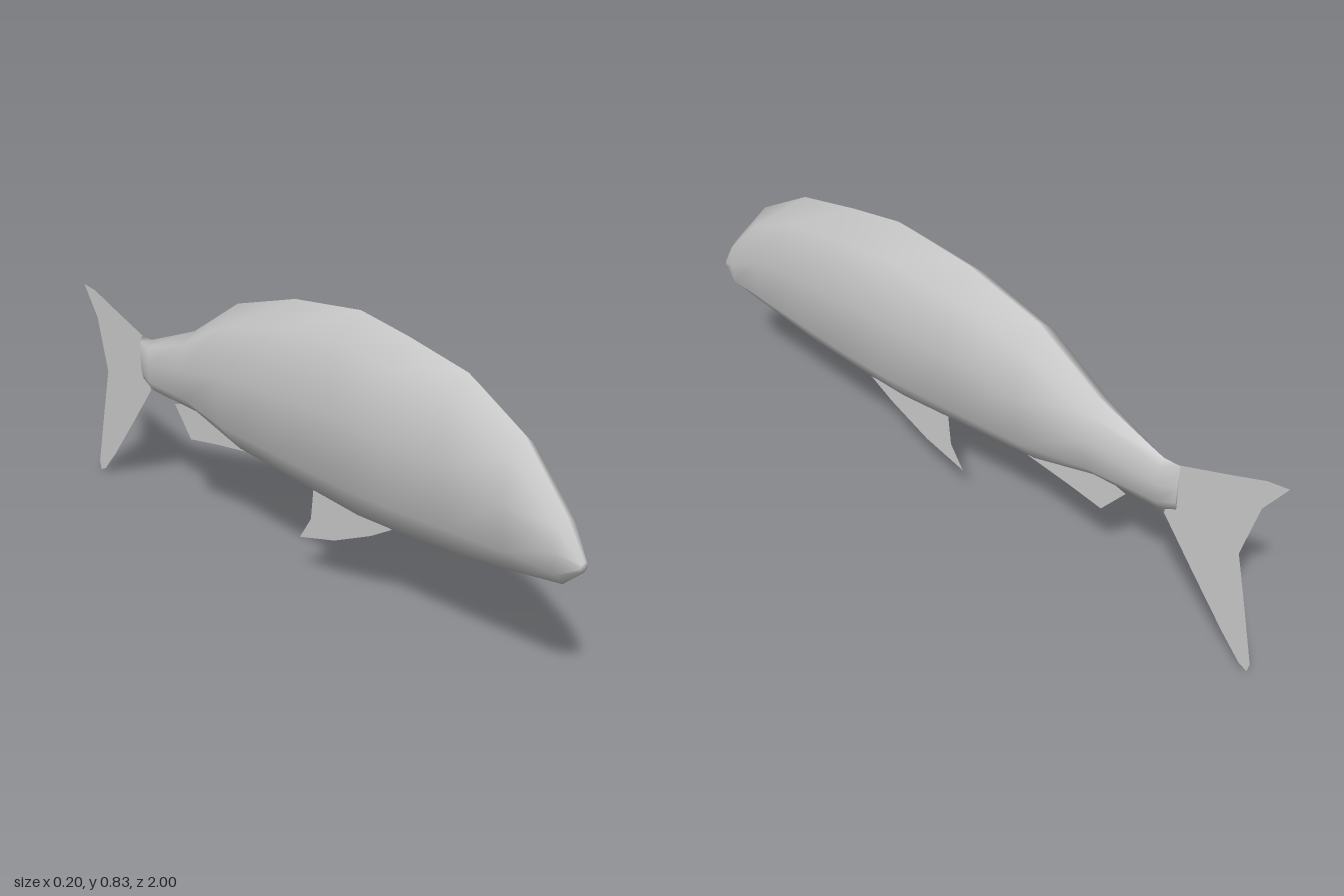
import * as THREE from 'three';

const grey = new THREE.MeshStandardMaterial({ color: 0xcccccc, side: THREE.DoubleSide });
grey.name = 'grey';

// body stations from nose to tail root: [z, top y, bottom y, half width]
const STATIONS = [
  [0.998, 0.415, 0.39, 0.012], [0.94, 0.51, 0.338, 0.037], [0.8, 0.667, 0.315, 0.061],
  [0.62, 0.767, 0.29, 0.08], [0.42, 0.805, 0.275, 0.095], [0.25, 0.83, 0.268, 0.102],
  [0, 0.8, 0.285, 0.099], [-0.24, 0.73, 0.302, 0.084], [-0.44, 0.6, 0.355, 0.055],
  [-0.65, 0.52, 0.36, 0.02], [-0.7, 0.52, 0.385, 0.009],
];
// cross-section: x as a share of half width, y as a share of height
const RING = [[0, 1], [0.78, 0.875], [1, 0.545], [0.78, 0.19], [0, 0], [-0.78, 0.19], [-1, 0.545], [-0.78, 0.875]];

function loft(stations) {
  const pos = [], idx = [], n = RING.length, last = stations.length - 1;
  for (const [z, top, bottom, w] of stations)
    for (const [u, v] of RING) pos.push(u * w, bottom + v * (top - bottom), z);
  for (let i = 0; i < last; i++)
    for (let j = 0; j < n; j++) {
      const a = i * n + j, b = i * n + (j + 1) % n;
      idx.push(a, b, a + n, b, b + n, a + n);
    }
  // close both ends
  for (let j = 1; j < n - 1; j++) {
    idx.push(0, j + 1, j);
    idx.push(last * n, last * n + j, last * n + j + 1);
  }
  const g = new THREE.BufferGeometry();
  g.setAttribute('position', new THREE.Float32BufferAttribute(pos, 3));
  g.setIndex(idx);
  g.computeVertexNormals();
  return g;
}

// flat fin in the middle plane from [z, y] corners
function fin(name, corners) {
  const shape = new THREE.Shape(corners.map(([z, y]) => new THREE.Vector2(-z, y)));
  const mesh = new THREE.Mesh(new THREE.ShapeGeometry(shape).rotateY(Math.PI / 2), grey);
  mesh.name = name;
  return mesh;
}

export function createModel() {
  const fish = new THREE.Group();
  fish.name = 'fish';

  const body = new THREE.Mesh(loft(STATIONS), grey);
  body.name = 'body';
  fish.add(body);

  fish.add(fin('tailFin', [
    [-0.69, 0.52], [-0.7, 0.522], [-0.85, 0.573], [-0.94, 0.605], [-1, 0.613], [-0.935, 0.52],
    [-0.89, 0.355], [-0.925, 0.2], [-0.962, 0.03], [-0.955, 0.003], [-0.93, 0.015],
    [-0.87, 0.085], [-0.77, 0.215], [-0.665, 0.355],
  ]));
  fish.add(fin('bellyFin', [
    [0.38, 0.272], [0.3, 0.225], [0.16, 0.16], [0.02, 0.12], [0.065, 0.19], [0.075, 0.282],
  ]));
  fish.add(fin('rearFin', [
    [-0.2, 0.302], [-0.36, 0.278], [-0.47, 0.258], [-0.545, 0.348], [-0.5, 0.36], [-0.42, 0.365],
  ]));
  return fish;
}
